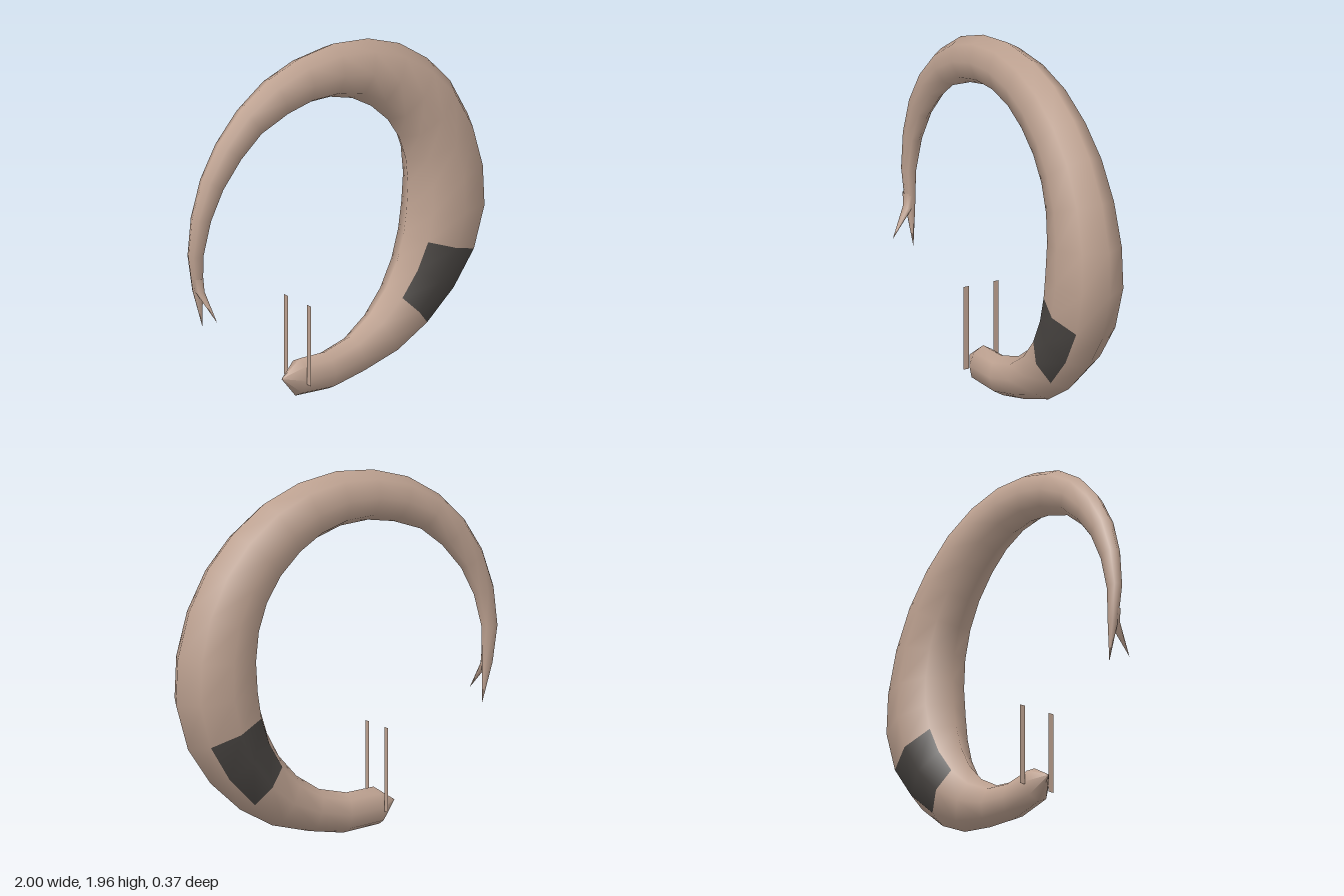
import * as THREE from 'three';

const SIDES = 8;
const FLATTEN = 0.73; // sideways width relative to height of a cross-section

// Body cross-sections from head to tail: [outer x, outer y, inner x, inner y]
const BODY = [
  [-0.36, 0.14, -0.36, 0.14],
  [-0.265, 0.02, -0.23, 0.225], [-0.04, 0.0, -0.06, 0.215], [0.17, 0.035, 0.11, 0.255],
  [0.4, 0.095, 0.25, 0.345], [0.6, 0.205, 0.36, 0.465], [0.785, 0.37, 0.435, 0.6],
  [0.925, 0.57, 0.48, 0.74], [1.0, 0.82, 0.5, 0.87], [0.99, 1.06, 0.51, 1.02],
  [0.92, 1.31, 0.495, 1.165], [0.8, 1.53, 0.45, 1.3], [0.645, 1.7, 0.37, 1.425],
  [0.45, 1.84, 0.255, 1.535], [0.235, 1.925, 0.125, 1.615], [0, 1.96, -0.025, 1.663],
  [-0.23, 1.94, -0.195, 1.673], [-0.445, 1.875, -0.355, 1.645], [-0.64, 1.755, -0.525, 1.583],
  [-0.795, 1.6, -0.657, 1.478], [-0.905, 1.425, -0.775, 1.34], [-0.975, 1.22, -0.855, 1.185],
  [-1.0, 1.01, -0.904, 1.0], [-0.97, 0.81, -0.905, 0.8], [-0.905, 0.59, -0.905, 0.59],
];

// Side prong of the tail, same layout plus a z offset
const PRONG = [
  [-0.98, 0.88, -0.91, 0.88, 0.008],
  [-0.967, 0.81, -0.907, 0.8, 0.015],
  [-0.909, 0.65, -0.909, 0.65, 0.128],
];

// Smooth skin through elliptical rings; isDark(ring, side) picks the second material
function loft(rings, isDark = () => false) {
  const pos = [], plain = [], dark = [];
  rings.forEach(([ox, oy, ix, iy, z = 0], i) => {
    const ux = (ox - ix) / 2, uy = (oy - iy) / 2, rz = FLATTEN * Math.hypot(ux, uy);
    for (let j = 0; j < SIDES; j++) {
      const a = (j / SIDES) * Math.PI * 2, c = Math.cos(a);
      pos.push((ox + ix) / 2 + ux * c, (oy + iy) / 2 + uy * c, z + rz * Math.sin(a));
      if (i === rings.length - 1) continue;
      const k = (j + 1) % SIDES, p = i * SIDES, q = p + SIDES;
      (isDark(i, j) ? dark : plain).push(p + j, q + j, p + k, q + j, q + k, p + k);
    }
  });
  const geo = new THREE.BufferGeometry();
  geo.setAttribute('position', new THREE.Float32BufferAttribute(pos, 3));
  geo.setIndex([...plain, ...dark]);
  geo.addGroup(0, plain.length, 0);
  geo.addGroup(plain.length, dark.length, 1);
  geo.computeVertexNormals();
  return geo;
}

export function createModel() {
  const model = new THREE.Group();
  const skin = new THREE.MeshStandardMaterial({ color: 0xbfa392 });
  const saddle = new THREE.MeshStandardMaterial({ color: 0x4a4643 });
  const thin = new THREE.MeshStandardMaterial({ color: 0xbfa392, side: THREE.DoubleSide });

  const add = (name, geo, mat) => {
    const mesh = new THREE.Mesh(geo, mat);
    mesh.name = name;
    model.add(mesh);
    return mesh;
  };

  // Curled body with a dark patch on each flank
  const flank = (i, j) => i >= 5 && i <= 6 && (j % 4 === 1 || j % 4 === 2);
  add('body', loft(BODY, flank), [skin, saddle]);

  // Second point of the forked tail
  add('tailProng', loft(PRONG), [thin, thin]);

  // Thin upright feelers beside the head
  for (const [name, s] of [['frontFeeler', 1], ['backFeeler', -1]]) {
    const feeler = add(name, new THREE.PlaneGeometry(0.032, 0.456), thin);
    feeler.rotation.y = Math.PI / 2;
    feeler.position.set(-0.25, 0.332, s * 0.093);
  }
  return model;
}
